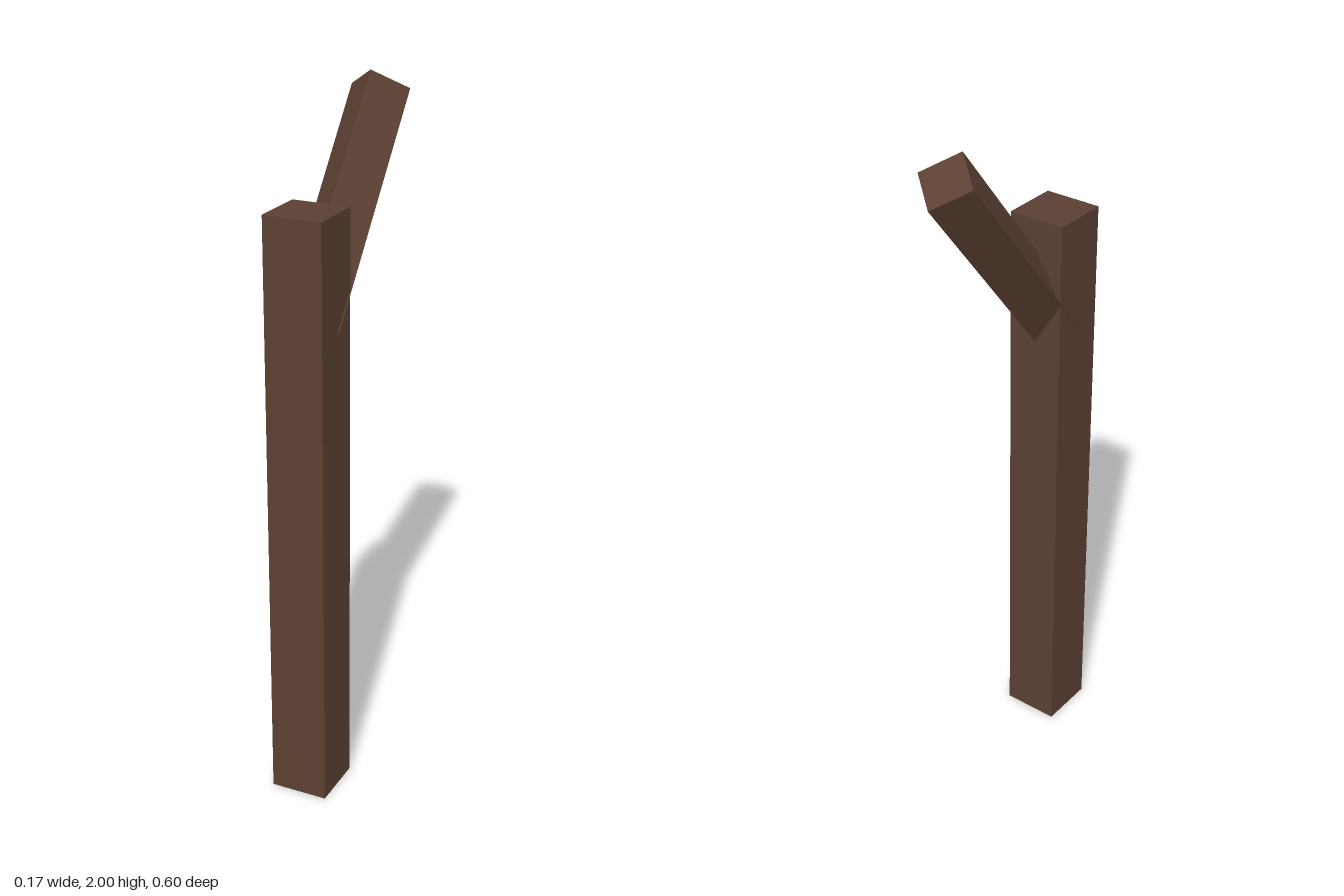
import * as THREE from 'three';

export function createModel() {
  const group = new THREE.Group();
  const darkWood = new THREE.MeshStandardMaterial({ color: 0x5c4033 });
  darkWood.name = 'dark brown wood';

  // A square wooden beam standing along y
  const beam = (name, side, length) => {
    const mesh = new THREE.Mesh(new THREE.BoxGeometry(side, length, side), darkWood);
    mesh.name = name;
    group.add(mesh);
    return mesh;
  };

  // Upright post
  beam('post', 0.167, 1.71).position.set(0, 0.855, 0.2185);

  // Brace set on its edge, leaning backwards out of the post
  const brace = beam('brace', 0.1225, 0.713);
  brace.geometry.rotateY(Math.PI / 4);
  brace.rotation.x = -THREE.MathUtils.degToRad(38.6);
  brace.position.set(0, 1.668, -0.0125);

  return group;
}
